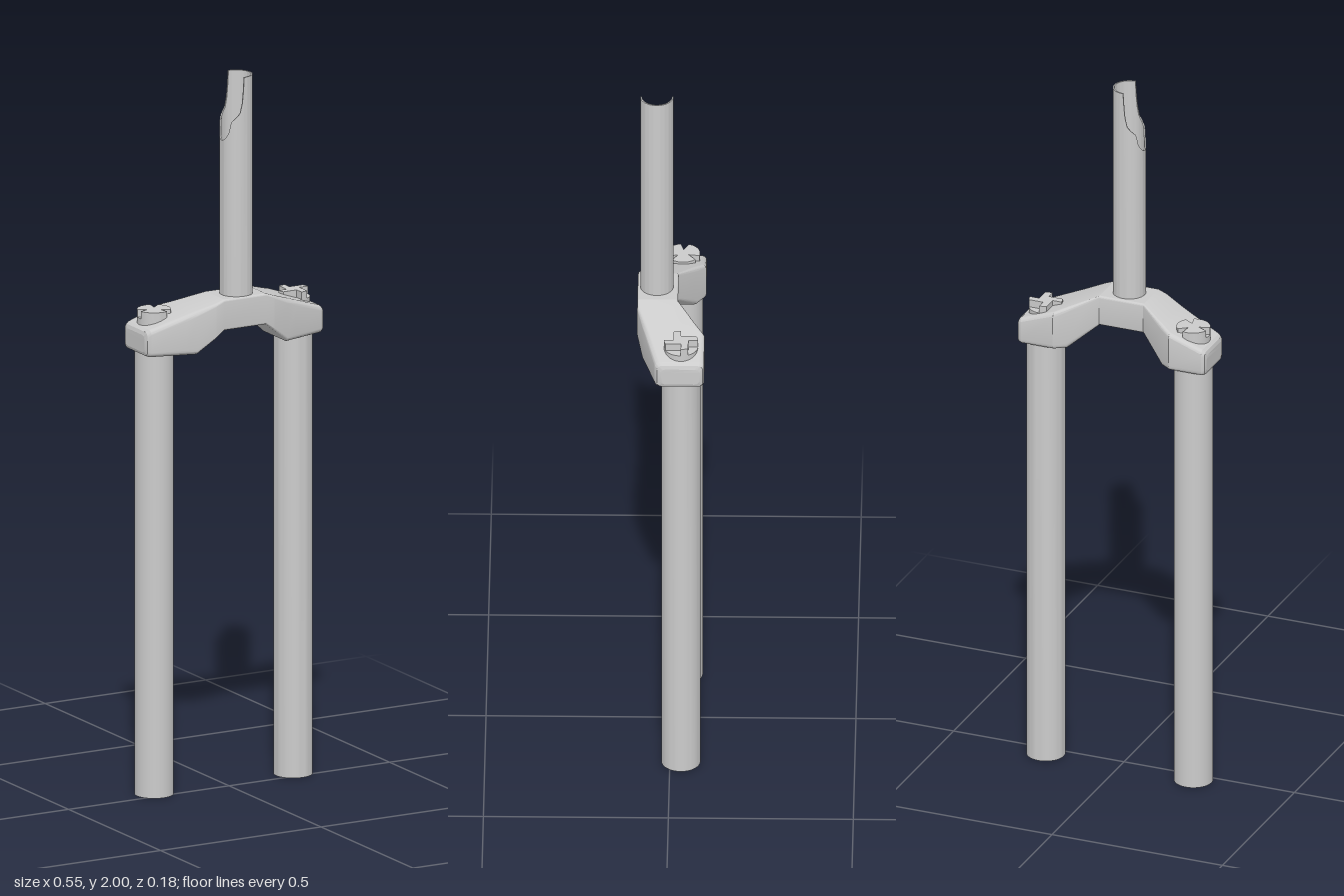
import * as THREE from 'three';
import { toCreasedNormals } from 'three/addons/utils/BufferGeometryUtils.js';

const LEG_X = 0.2165, LEG_Z = -0.03, STEM_Z = 0.038, CAP_R = 0.046;
const material = new THREE.MeshStandardMaterial({ color: 0xcccccc });

function part(name, geometry, x = 0, y = 0, z = 0) {
  const mesh = new THREE.Mesh(geometry, material);
  mesh.name = name;
  mesh.position.set(x, y, z);
  return mesh;
}

// piecewise linear lookup in [[key, value], ...]
function lerpTable(table, k) {
  if (k <= table[0][0]) return table[0][1];
  for (let i = 1; i < table.length; i++) {
    const [k0, v0] = table[i - 1], [k1, v1] = table[i];
    if (k <= k1) return v0 + (v1 - v0) * (k - k0) / (k1 - k0);
  }
  return table[table.length - 1][1];
}

const lathe = (pts, segments) =>
  new THREE.LatheGeometry(pts.map(([r, y]) => new THREE.Vector2(r, y)), segments);

// Crown: rounded-rectangle sections lofted along x, open around the stem hole
const BACK = [[0.065, -0.02], [0.17, -0.093]];
const FRONT = [[0.09, 0.09], [0.277, 0.037]];
const TOP = [[0.065, 1.388], [0.277, 1.312]];
const BOTTOM = [[0.065, 1.302], [0.14, 1.24]];
const BEVEL = [[0.065, 0.006], [0.14, 0.014]];
const CORNER = 6;

function crownSection(x, inset) {
  const a = Math.abs(x), b = lerpTable(BEVEL, a);
  const z0 = lerpTable(BACK, a) + inset + b, z1 = lerpTable(FRONT, a) - inset - b;
  const y0 = lerpTable(BOTTOM, a) + inset + b, y1 = lerpTable(TOP, a) - inset - b;
  const ring = [];
  [[z1, y1], [z0, y1], [z0, y0], [z1, y0]].forEach(([z, y], c) => {
    for (let i = 0; i <= CORNER; i++) {
      const t = (c + i / CORNER) * Math.PI / 2;
      ring.push([x, y + b * Math.sin(t), z + b * Math.cos(t)]);
    }
  });
  return ring;
}

function crownGeometry() {
  const half = [[0.065, 0], [0.09, 0], [0.14, 0], [0.17, 0], [0.265, 0], [0.2735, 0.0035], [0.277, 0.012]];
  const stations = [...half.map(([x, i]) => [-x, i]).reverse(), ...half];
  const rings = stations.map(([x, inset]) => crownSection(x, inset));
  const n = rings[0].length, last = rings.length - 1, index = [];
  const topEdge = CORNER, bottomEdge = 3 * CORNER + 2;
  for (let i = 0; i < last; i++) {
    for (let j = 0; j < n; j++) {
      if (i === half.length - 1 && (j === topEdge || j === bottomEdge)) continue;
      const k = (j + 1) % n, a = i * n, b = a + n;
      index.push(a + j, b + j, b + k, a + j, b + k, a + k);
    }
  }
  for (let j = 1; j < n - 1; j++) {
    index.push(0, j, j + 1, last * n, last * n + j + 1, last * n + j);
  }
  const g = new THREE.BufferGeometry();
  g.setAttribute('position', new THREE.Float32BufferAttribute(rings.flat(2), 3));
  g.setIndex(index);
  return toCreasedNormals(g, 0.27);
}

// flat plate with the stem hole; side is 1 for the top, -1 for the underside
function crownPlate(side) {
  const za = -0.014, zb = 0.084, s = -side;
  const shape = new THREE.Shape([[-0.065, za], [0.065, za], [0.065, zb], [-0.065, zb]]
    .map(([x, z]) => new THREE.Vector2(x, s * z)));
  shape.holes.push(new THREE.Path().absarc(0, s * STEM_Z, 0.0445, 0, Math.PI * 2, true));
  return new THREE.ShapeGeometry(shape, 48).rotateX(-side * Math.PI / 2);
}

// Stem: thin open tube whose -x half is cut away near the top
function stemGeometry() {
  const cut = [[-0.045, 1.82], [-0.037, 1.845], [-0.033, 1.875], [-0.012, 1.9], [-0.004, 1.935], [-0.0005, 2]];
  const g = lathe([[0.045, 1.302], [0.045, 2], [0.041, 2], [0.041, 1.302], [0.045, 1.302]], 96);
  const p = g.attributes.position;
  for (let i = 0; i < p.count; i++) {
    if (p.getY(i) > 1.9) {
      const x = p.getX(i);
      p.setY(i, lerpTable(cut, x * 0.045 / Math.hypot(x, p.getZ(i))));
    }
  }
  return toCreasedNormals(g, 0.6);
}

// Knob faces, drawn in plan
function notchedDisc() {
  const pts = [], notches = [-55, 60, 175], rad = Math.PI / 180;
  notches.forEach((mid, i) => {
    const next = i < 2 ? notches[i + 1] : notches[0] + 360;
    pts.push(new THREE.Vector2(0.017 * Math.cos(mid * rad), 0.017 * Math.sin(mid * rad)));
    for (let k = 0; k <= 12; k++) {
      const t = (mid + 14 + (next - mid - 28) * k / 12) * rad;
      pts.push(new THREE.Vector2(CAP_R * Math.cos(t), CAP_R * Math.sin(t)));
    }
  });
  return new THREE.Shape(pts);
}

function pinwheelCross() {
  const pts = [];
  for (let i = 0; i < 4; i++) {
    for (const [u, v] of [[0, 0.022], [0, 0.046], [-0.01, 0.045], [-0.02, 0.0414], [-0.02, 0]]) {
      pts.push(new THREE.Vector2(u, v).rotateAround(new THREE.Vector2(), i * Math.PI / 2));
    }
  }
  return new THREE.Shape(pts);
}

function knob(name, shape, x) {
  const group = new THREE.Group();
  group.name = name;
  const face = new THREE.ExtrudeGeometry(shape, { depth: 0.022, bevelEnabled: false }).rotateX(-Math.PI / 2);
  group.add(part(name + 'Base', new THREE.CylinderGeometry(CAP_R, CAP_R, 0.085, 48), 0, 1.2925, 0));
  group.add(part(name + 'Face', toCreasedNormals(face, 0.4), 0, 1.334, 0));
  group.position.set(x, 0, LEG_Z);
  return group;
}

export function createModel() {
  const model = new THREE.Group();
  model.name = 'suspensionFork';

  const crown = new THREE.Group();
  crown.name = 'crown';
  crown.add(part('crownBody', crownGeometry()));
  crown.add(part('crownTopPlate', crownPlate(1), 0, 1.388, 0));
  crown.add(part('crownUnderPlate', crownPlate(-1), 0, 1.302, 0));
  model.add(crown);

  model.add(part('steererTube', stemGeometry(), 0, 0, STEM_Z));

  // right leg is closed below, left leg is hollow
  model.add(part('rightLeg', new THREE.CylinderGeometry(0.053, 0.053, 1.25, 48), -LEG_X, 0.625, LEG_Z));
  const hollow = lathe([[0, 1.2], [0.034, 1.2], [0.034, 0], [0.053, 0], [0.053, 1.25], [0, 1.25]].map(
    (p) => p), 48);
  hollow.deleteAttribute('normal');
  model.add(part('leftLeg', toCreasedNormals(hollow, 0.6), LEG_X, 0, LEG_Z));

  model.add(knob('rightKnob', notchedDisc(), -LEG_X));
  model.add(knob('leftKnob', pinwheelCross(), LEG_X));
  return model;
}
